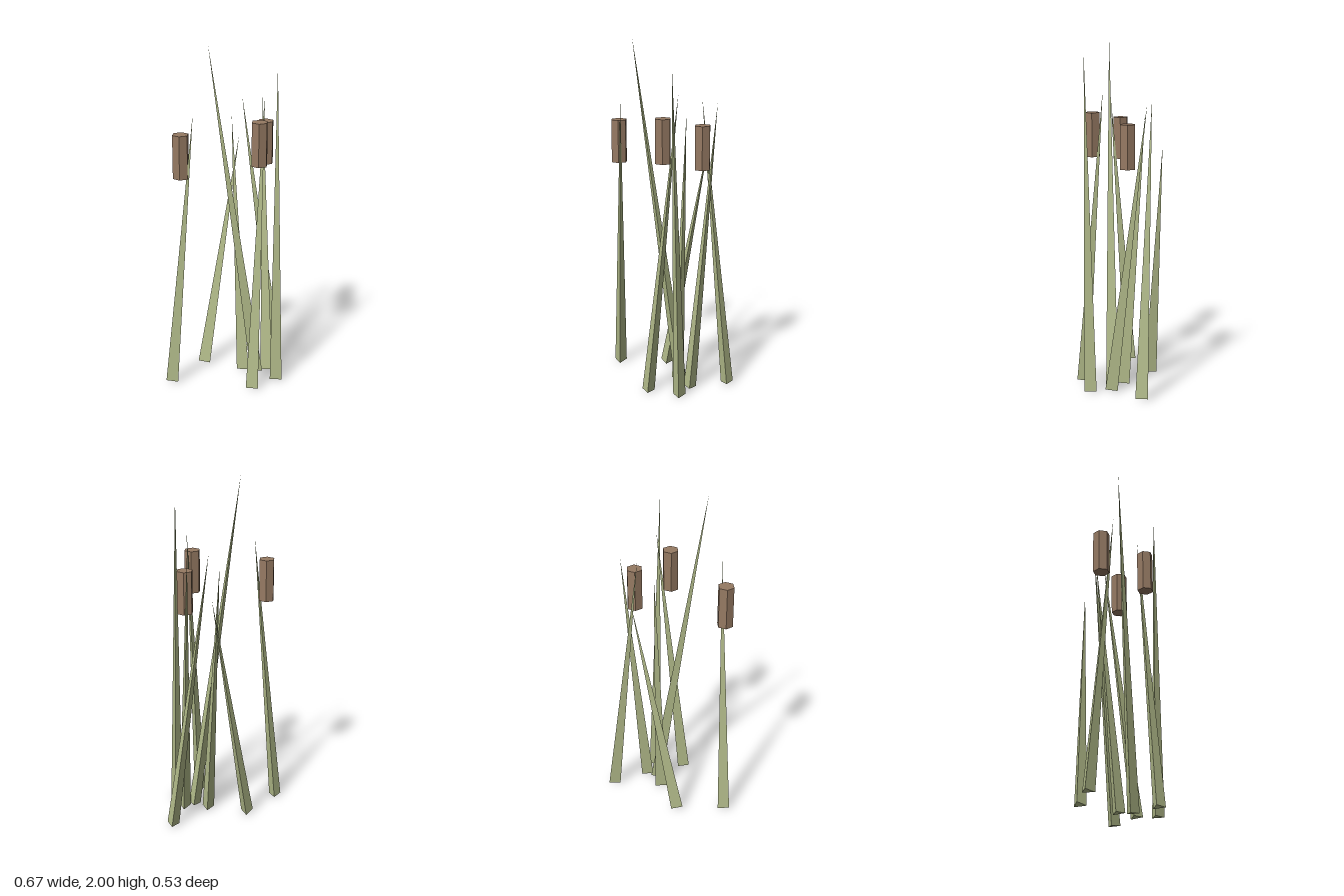
import * as THREE from 'three';

const leafGreen = new THREE.MeshStandardMaterial({ color: 0xb2bb8a, flatShading: true });
leafGreen.name = 'leafGreen';
const headBrown = new THREE.MeshStandardMaterial({ color: 0x967a63, flatShading: true });
headBrown.name = 'headBrown';

const UP = new THREE.Vector3(0, 1, 0);

// Three-sided tapering blade, leaning from its base centre to its tip
function makeBlade([baseX, baseZ, tipX, tipY, tipZ]) {
  const lean = new THREE.Vector3(tipX - baseX, tipY, tipZ - baseZ);
  const length = lean.length();
  const baseY = 0.002 + (length - tipY) / 2; // leaning blades lift slightly
  const base = new THREE.Vector3(baseX, baseY, baseZ);
  const axis = new THREE.Vector3(tipX, tipY, tipZ).sub(base);
  const geometry = new THREE.ConeGeometry(0.0405, axis.length(), 3);
  geometry.rotateY(Math.PI);
  geometry.translate(0, axis.length() / 2, 0);
  const blade = new THREE.Mesh(geometry, leafGreen);
  blade.position.copy(base);
  blade.quaternion.setFromUnitVectors(UP, axis.normalize());
  return blade;
}

// Upright six-sided seed head
function makeHead([x, y, z]) {
  const head = new THREE.Mesh(new THREE.CylinderGeometry(0.047, 0.047, 0.246, 6), headBrown);
  head.position.set(x, y, z);
  return head;
}

export function createModel() {
  const reeds = new THREE.Group();
  reeds.name = 'reeds';

  // Base x, base z, tip x, tip y, tip z
  const blades = [
    [-0.145, -0.043, 0.042, 1.40, -0.221],
    [0.278, -0.227, 0.064, 1.65, -0.165],
    [0.237, -0.005, 0.178, 1.64, -0.201],
    [0.095, 0.002, 0.013, 1.55, -0.091],
    [0.180, 0.026, -0.078, 2.00, 0.200],
    [0.173, 0.230, 0.213, 1.71, 0.060],
    [0.302, 0.096, 0.285, 1.89, 0.135],
    [-0.302, 0.196, -0.157, 1.64, 0.240],
  ];
  blades.forEach((spec, i) => {
    const blade = makeBlade(spec);
    blade.name = `blade${i + 1}`;
    reeds.add(blade);
  });

  // Centre of each seed head
  const heads = [
    [0.206, 1.403, -0.093],
    [0.193, 1.457, 0.143],
    [-0.230, 1.394, 0.218],
  ];
  heads.forEach((spec, i) => {
    const head = makeHead(spec);
    head.name = `seedHead${i + 1}`;
    reeds.add(head);
  });

  return reeds;
}
